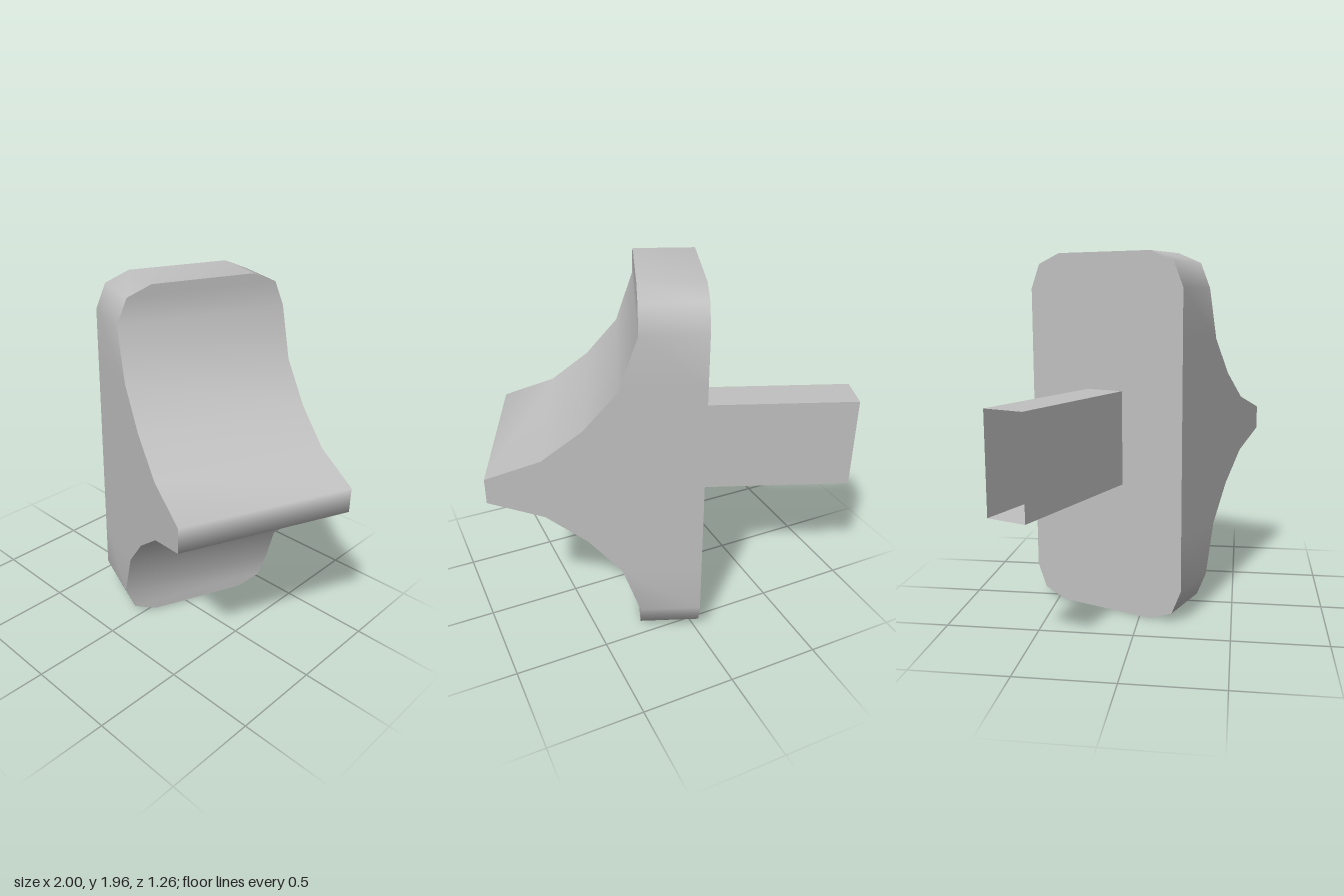
import * as THREE from 'three';

const BACK = -0.232, MID = 0.978;

// Half of the body from the top down to the middle: [y, half width, front depth]
const upper = [
  [1.956, 0.28, 0.09], [1.902, 0.411, 0.09], [1.771, 0.465, 0.09],
  [1.5, 0.465, 0.183], [1.3, 0.465, 0.355], [1.14, 0.465, 0.562], [1.045, 0.465, 0.841],
];

// Smooth strip of quads between two rows of points
function strip(a, b) {
  const n = a.length, index = [];
  for (let i = 0; i < n - 1; i++) index.push(i, n + i, i + 1, n + i, n + i + 1, i + 1);
  const g = new THREE.BufferGeometry();
  g.setAttribute('position', new THREE.Float32BufferAttribute([...a, ...b].flat(), 3));
  g.setIndex(index);
  g.computeVertexNormals();
  return g;
}

export function createModel() {
  const grey = new THREE.MeshStandardMaterial({ color: 0xc0c0c0 });
  grey.name = 'light grey';
  grey.side = THREE.DoubleSide;

  const model = new THREE.Group();
  model.name = 'switch';
  const add = (name, geometry, parent) => {
    const m = new THREE.Mesh(geometry, grey);
    m.name = name;
    parent.add(m);
    return m;
  };

  // Body: rows from bottom to top, mirrored about the middle
  const body = new THREE.Group();
  body.name = 'body';
  body.position.x = 0.123;
  model.add(body);
  const rows = [...upper.map(([y, w, d]) => [2 * MID - y, w, d]), ...[...upper].reverse()];
  const edge = (side, front) => rows.map(([y, w, d]) => [side * w, y, front ? d : BACK]);
  const loop = (front) => [...edge(1, front), ...edge(-1, front).reverse()];

  add('curvedFront', strip(edge(-1, true), edge(1, true)), body);
  add('flatBack', strip(edge(1, false), edge(-1, false)), body);

  // Rim around both sides, closed and smooth across the top and bottom
  const frontLoop = loop(true), backLoop = loop(false);
  const rim = strip([...frontLoop, frontLoop[0]], [...backLoop, backLoop[0]]);
  const normals = rim.attributes.normal, last = frontLoop.length, count = last + 1;
  for (const start of [0, count]) {
    const n = new THREE.Vector3().fromBufferAttribute(normals, start)
      .add(new THREE.Vector3().fromBufferAttribute(normals, start + last)).normalize();
    for (const i of [start, start + last]) normals.setXYZ(i, n.x, n.y, n.z);
  }
  add('rim', rim, body);

  // Stem: rectangular sleeve, open at its ends
  const stemBack = -1.08, length = BACK - stemBack;
  const sleeve = new THREE.BoxGeometry(0.216, 0.506, length);
  sleeve.setIndex([...sleeve.index.array].slice(0, 24));
  sleeve.clearGroups();
  add('stem', sleeve, model).position.set(0.121, 0.982, stemBack + length / 2);

  model.rotation.y = Math.atan2(0.93, 0.368);
  const root = new THREE.Group();
  root.add(model);
  return root;
}
